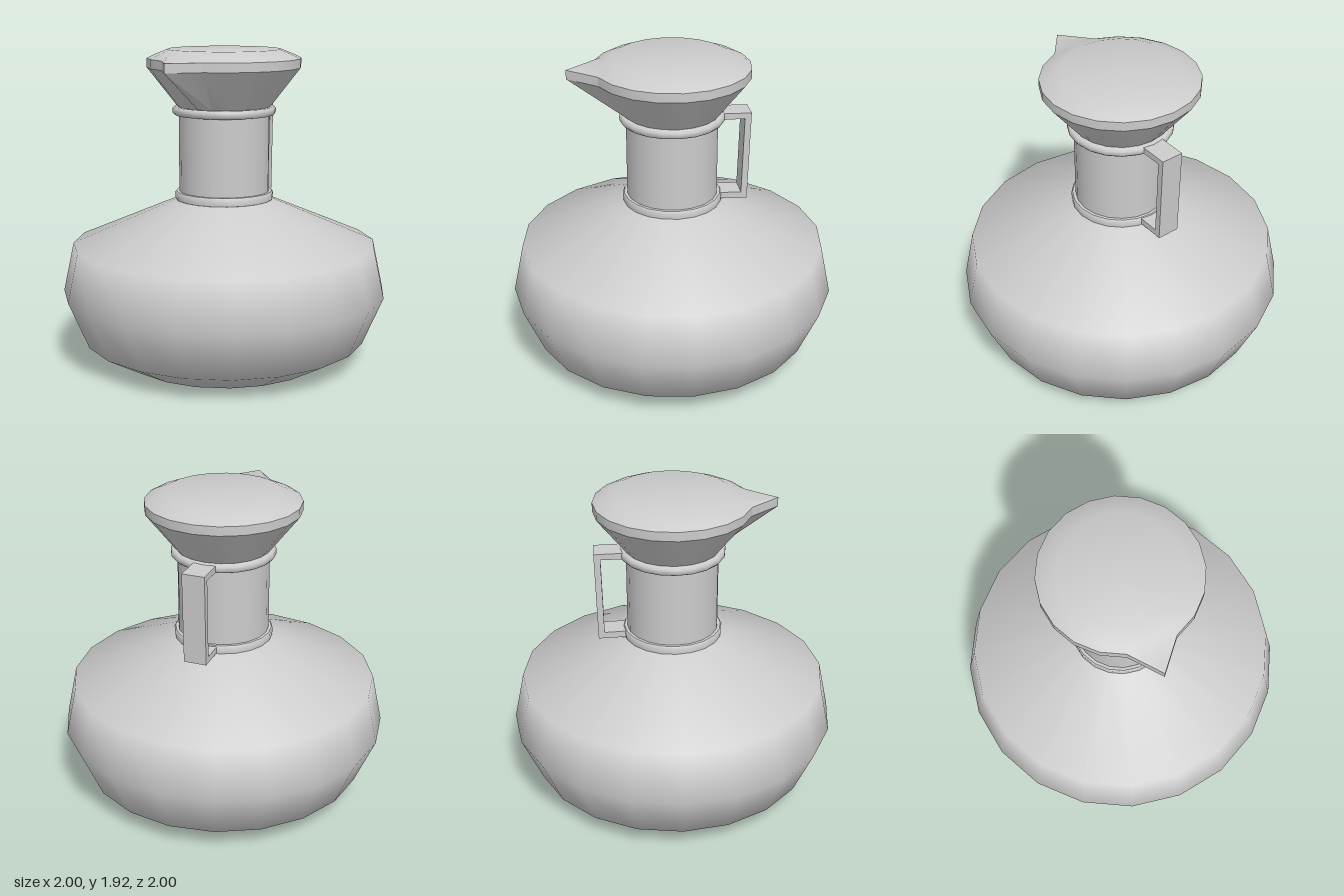
import * as THREE from 'three';
import { toCreasedNormals } from 'three/addons/utils/BufferGeometryUtils.js';

const SIDES = 20;
const material = new THREE.MeshStandardMaterial({ color: 0xcccccc });

function lathe(profile) {
  return new THREE.LatheGeometry(profile.map(([r, y]) => new THREE.Vector2(r, y)), SIDES);
}

export function createModel() {
  const group = new THREE.Group();
  const add = (name, geometry) => {
    const mesh = new THREE.Mesh(geometry, material);
    mesh.name = name;
    group.add(mesh);
    return mesh;
  };

  // Wide belly with a flat base
  add('belly', lathe([[0.625, 0], [0.875, 0.14], [1, 0.435], [0.935, 0.735], [0.29, 1.01]]));
  add('base', new THREE.CircleGeometry(0.625, SIDES).rotateX(Math.PI / 2));

  // Neck with a collar at its foot and a ring at its top
  add('neck', lathe([[0.277, 1.0], [0.277, 1.58]]));
  add('collar', toCreasedNormals(
    lathe([[0.27, 1.0], [0.3, 1.01], [0.303, 1.05], [0.295, 1.06], [0.27, 1.06]]), 0.9));
  add('neckRing', toCreasedNormals(
    lathe([[0.27, 1.53], [0.305, 1.53], [0.316, 1.543], [0.316, 1.567], [0.305, 1.58], [0.27, 1.58]]), 0.9));

  // Flared mouth, rim and closed lid; the front corner of the rim is drawn out into a spout
  const mouth = lathe([[0.285, 1.58], [0.468, 1.815], [0.468, 1.87], [0.43, 1.89], [0.343, 1.925], [0, 1.925]]);
  const p = mouth.attributes.position;
  for (let i = 0; i < p.count; i++) {
    const atFront = Math.abs(p.getX(i)) < 0.01 && p.getZ(i) > 0.46;
    if (atFront) p.setZ(i, 0.62);
  }
  add('mouthAndSpout', toCreasedNormals(mouth, 0.4));

  // Square handle at the back, drawn in side profile (z, y)
  const side = new THREE.Shape([
    [-0.27, 1.575], [-0.47, 1.57], [-0.455, 1.01], [-0.28, 1.015],
    [-0.28, 1.055], [-0.418, 1.05], [-0.43, 1.535], [-0.27, 1.535],
  ].map(([z, y]) => new THREE.Vector2(-z, y)));
  const handle = new THREE.ExtrudeGeometry(side, { depth: 0.14, bevelEnabled: false });
  handle.translate(0, 0, -0.07).rotateY(Math.PI / 2);
  add('handle', handle);

  return group;
}
